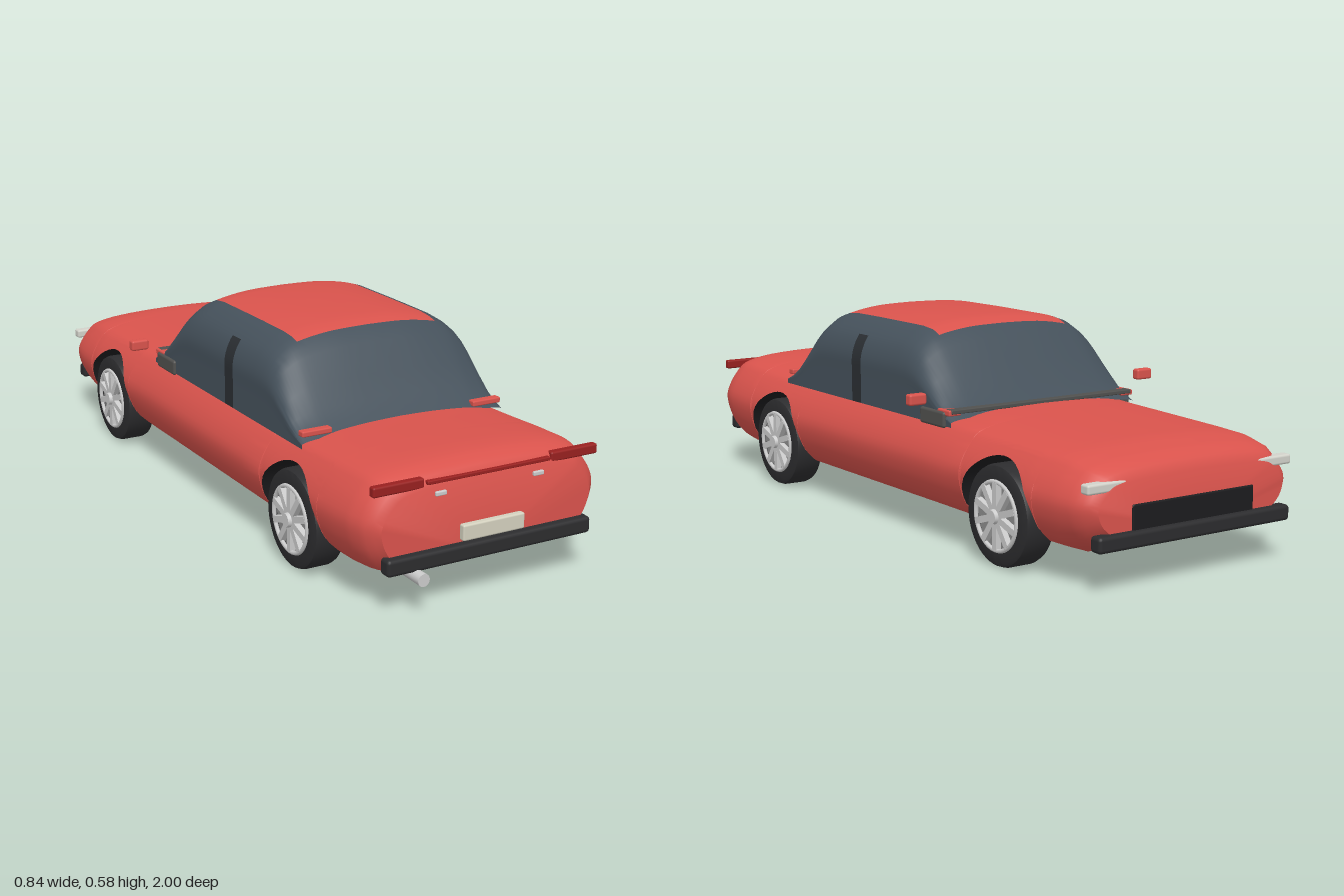
import * as THREE from 'three';
import { toCreasedNormals } from 'three/addons/utils/BufferGeometryUtils.js';
import { RoundedBoxGeometry } from 'three/addons/geometries/RoundedBoxGeometry.js';

const mat = (color) => new THREE.MeshStandardMaterial({ color });
const paint = mat(0xd9534c), glass = mat(0x45515b), black = mat(0x2c2c2e), under = mat(0x1c1c1e);
const pillarMat = mat(0x2b2f33), lampRed = mat(0x98201f), lampClear = mat(0xd2d2ca), plateMat = mat(0xd3d0be);
const cowlMat = mat(0x50504e), rimDark = mat(0x8c8c8c), metal = mat(0xcccccc);

const ARCH_R = 0.155, AXLE_Y = 0.136, AXLES = [-0.625, 0.563];

// Linear lookup in a table of [key, value] pairs
function look(table, k) {
  if (k <= table[0][0]) return table[0][1];
  for (let i = 1; i < table.length; i++) {
    const [a, va] = table[i - 1], [b, vb] = table[i];
    if (k <= b) return va + (vb - va) * (k - a) / (b - a);
  }
  return table[table.length - 1][1];
}

function add(group, name, geometry, material, x = 0, y = 0, z = 0) {
  const m = new THREE.Mesh(geometry, material);
  m.name = name;
  m.position.set(x, y, z);
  group.add(m);
  return m;
}

const box = (g, name, m, w, h, d, x, y, z) =>
  add(g, name, new RoundedBoxGeometry(w, h, d, 2, Math.min(w, h, d) * 0.25), m, x, y, z);

// Skin over rows of [x, y, z] points; keep(x, z) picks the quads wanted
function loft(rows, keep = () => true) {
  const n = rows[0].length, index = [];
  for (let i = 0; i + 1 < rows.length; i++) {
    for (let j = 0; j + 1 < n; j++) {
      const a = i * n + j, b = a + 1, c = a + n, d = c + 1;
      const x = (rows[i][j][0] + rows[i][j + 1][0]) / 2;
      const z = (rows[i][j][2] + rows[i + 1][j][2]) / 2;
      if (keep(x, z)) index.push(a, b, c, b, d, c);
    }
  }
  const g = new THREE.BufferGeometry();
  g.setAttribute('position', new THREE.Float32BufferAttribute(rows.flat(2), 3));
  g.setIndex(index);
  return toCreasedNormals(g, 0.7);
}

// Body: length-wise tables and one normalised side curve, cut by the wheel arches
const TOP = [[-0.98, 0.28], [-0.965, 0.305], [-0.93, 0.325], [-0.85, 0.342], [-0.4, 0.355], [-0.3, 0.36],
  [0.5, 0.356], [0.6, 0.36], [0.75, 0.368], [0.85, 0.372], [0.9, 0.367], [0.935, 0.35], [0.95, 0.325]];
const BOTTOM = [[-0.98, 0.13], [-0.93, 0.095], [-0.85, 0.075], [0.8, 0.075], [0.9, 0.085], [0.95, 0.115]];
const WIDTH = [[-0.98, 0.305], [-0.96, 0.328], [-0.93, 0.342], [-0.88, 0.351], [-0.75, 0.361], [-0.4, 0.365],
  [0.75, 0.365], [0.87, 0.36], [0.92, 0.345], [0.95, 0.315]];
const SIDE = new THREE.SplineCurve([[0.66, 0], [0.82, 0.07], [0.945, 0.25], [1, 0.5], [0.965, 0.67], [0.88, 0.83],
  [0.8, 0.91], [0.6, 0.965], [0.3, 0.992], [0, 1]].map((p) => new THREE.Vector2(...p)))
  .getPoints(72).map((p) => [Math.min(p.y, 1), p.x]);

function bodySection(z, floor) {
  const yb = look(BOTTOM, z), yt = look(TOP, z), w = look(WIDTH, z);
  const t0 = Math.max(0, (floor - yb) / (yt - yb)), half = [];
  for (let k = 0; k <= 26; k++) {
    const s = 1 - (1 - k / 26) ** 2.2;
    const t = t0 + (1 - t0) * s;
    half.push([k === 26 ? 0 : w * look(SIDE, t), yb + (yt - yb) * t, z]);
  }
  return [...half, ...half.slice(0, -1).reverse().map(([x, y]) => [-x, y, z])];
}

function buildBody(g) {
  const stations = [];
  for (const z of [-0.98, -0.965, -0.95, -0.93, -0.91, -0.88, -0.85, -0.8, -0.4, -0.3, -0.1, 0.1, 0.3, 0.75, 0.8, 0.85, 0.875,
    0.9, 0.92, 0.935, 0.95]) if (AXLES.every((c) => Math.abs(z - c) > ARCH_R + 0.005)) stations.push([z, 0]);
  for (const c of AXLES) {
    stations.push([c - ARCH_R - 0.002, 0], [c + ARCH_R + 0.002, 0]);
    for (let k = 0; k <= 24; k++) {
      const a = Math.PI * k / 24;
      stations.push([c - ARCH_R * Math.cos(a), AXLE_Y + ARCH_R * Math.sin(a)]);
    }
  }
  stations.sort((p, q) => p[0] - q[0]);
  const rows = stations.map(([z, y]) => bodySection(z, y));
  // Flat nose and tail caps, collapsed to a point on the bottom edge
  const cap = (row) => row.map(() => [0, row[0][1], row[0][2]]);
  add(g, 'bodyShell', loft([cap(rows[0]), ...rows, cap(rows[rows.length - 1])]), paint);
  add(g, 'underbody', loft(rows.map((r) => [r[r.length - 1], r[0]])), under);
}

// Cabin: one roof section scaled to the height of the side outline
function buildCabin(g) {
  const H = [[-0.36, 0.345], [-0.33, 0.37], [-0.3, 0.4], [-0.25, 0.465], [-0.2, 0.527], [-0.18, 0.547], [-0.16, 0.561],
    [-0.13, 0.574], [-0.08, 0.58], [0.11, 0.581], [0.16, 0.581], [0.28, 0.58], [0.33, 0.575], [0.355, 0.567],
    [0.38, 0.551], [0.4, 0.53], [0.45, 0.46], [0.49, 0.403], [0.52, 0.372], [0.555, 0.345]];
  const half = new THREE.SplineCurve([[0.315, 0], [0.315, 0.3], [0.314, 0.52], [0.295, 0.71], [0.262, 0.84],
    [0.22, 0.92], [0.12, 0.985], [0, 1]].map((p) => new THREE.Vector2(...p))).getPoints(28);
  const full = [...half.map((p) => [p.x, p.y]), ...half.slice(0, -1).reverse().map((p) => [-p.x, p.y])];
  const rows = H.map(([z, h]) => full.map(([x, c]) => [x, 0.32 + (h - 0.32) * c, z]));
  const isRoof = (x, z) => Math.abs(x) < 0.221 && z > -0.16 && z < 0.355;
  const isPillar = (x, z) => Math.abs(x) > 0.285 && z > 0.11 && z < 0.16;
  add(g, 'roof', loft(rows, isRoof), paint);
  add(g, 'centrePillars', loft(rows, isPillar), pillarMat);
  add(g, 'windows', loft(rows, (x, z) => !isRoof(x, z) && !isPillar(x, z)), glass);
  box(g, 'windscreenCowl', cowlMat, 0.62, 0.012, 0.03, 0, 0.36, -0.342);
  for (const s of [-1, 1]) {
    box(g, 'cowlEnd', cowlMat, 0.03, 0.045, 0.12, s * 0.308, 0.337, -0.275);
    box(g, 'rearWindowCorner', paint, 0.09, 0.016, 0.025, s * 0.267, 0.357, 0.54);
    box(g, 'frontWindowCorner', paint, 0.04, 0.016, 0.06, s * 0.297, 0.357, -0.325);
    box(g, 'mirror', paint, 0.054, 0.031, 0.026, s * 0.392, 0.398, -0.308);
  }
}

// Wheel with its outer face on +x
function buildWheel() {
  const w = new THREE.Group();
  w.name = 'wheel';
  const tyre = new THREE.LatheGeometry([[0.06, -0.045], [0.122, -0.045], [0.131, -0.041], [0.135, -0.03], [0.135, 0.03],
    [0.131, 0.041], [0.122, 0.045], [0.094, 0.045], [0.092, 0.03]].map((p) => new THREE.Vector2(...p)), 48);
  add(w, 'tyre', toCreasedNormals(tyre, 0.7), black).rotation.z = -Math.PI / 2;
  add(w, 'rimDisc', new THREE.CylinderGeometry(0.093, 0.093, 0.07, 40), rimDark).rotation.z = -Math.PI / 2;
  add(w, 'rimRing', new THREE.TorusGeometry(0.09, 0.006, 8, 40), metal, 0.045).rotation.y = Math.PI / 2;
  add(w, 'hub', new THREE.CylinderGeometry(0.018, 0.024, 0.03, 20), metal, 0.046).rotation.z = -Math.PI / 2;
  for (let i = 0; i < 10; i++) {
    const spoke = new THREE.Group();
    spoke.name = 'spoke';
    spoke.rotation.x = i * Math.PI / 5;
    add(spoke, 'spokeBar', new THREE.BoxGeometry(0.018, 0.07, 0.018), metal, 0.042, 0.053);
    w.add(spoke);
  }
  return w;
}

function buildWheels(g) {
  for (const z of AXLES) for (const s of [-1, 1]) {
    const w = buildWheel();
    w.position.set(s * 0.309, AXLE_Y, z);
    if (s < 0) w.rotation.y = Math.PI;
    g.add(w);
  }
}

// Bumpers, lamps, plate, grille and exhaust
function buildTrim(g) {
  box(g, 'tailBumper', black, 0.616, 0.045, 0.04, 0, 0.136, 0.952);
  box(g, 'noseBumper', black, 0.63, 0.042, 0.04, 0, 0.13, -0.98);
  box(g, 'grille', under, 0.4, 0.075, 0.02, 0, 0.178, -0.974);
  box(g, 'numberPlate', plateMat, 0.186, 0.043, 0.02, 0, 0.191, 0.967);
  box(g, 'tailLampStrip', lampRed, 0.37, 0.01, 0.02, 0, 0.332, 0.942);
  for (const s of [-1, 1]) {
    box(g, 'tailLamp', lampRed, 0.147, 0.027, 0.022, s * 0.264, 0.332, 0.936);
    box(g, 'plateLamp', metal, 0.032, 0.012, 0.014, s * 0.147, 0.301, 0.95);
    box(g, 'headLamp', lampClear, 0.135, 0.026, 0.032, s * 0.268, 0.266, -0.962);
  }
  add(g, 'exhaust', new THREE.CylinderGeometry(0.017, 0.017, 0.12, 20), metal, -0.222, 0.103, 0.94).rotation.x = Math.PI / 2;
}

export function createModel() {
  const car = new THREE.Group();
  car.name = 'car';
  buildBody(car);
  buildCabin(car);
  buildWheels(car);
  buildTrim(car);
  return car;
}
